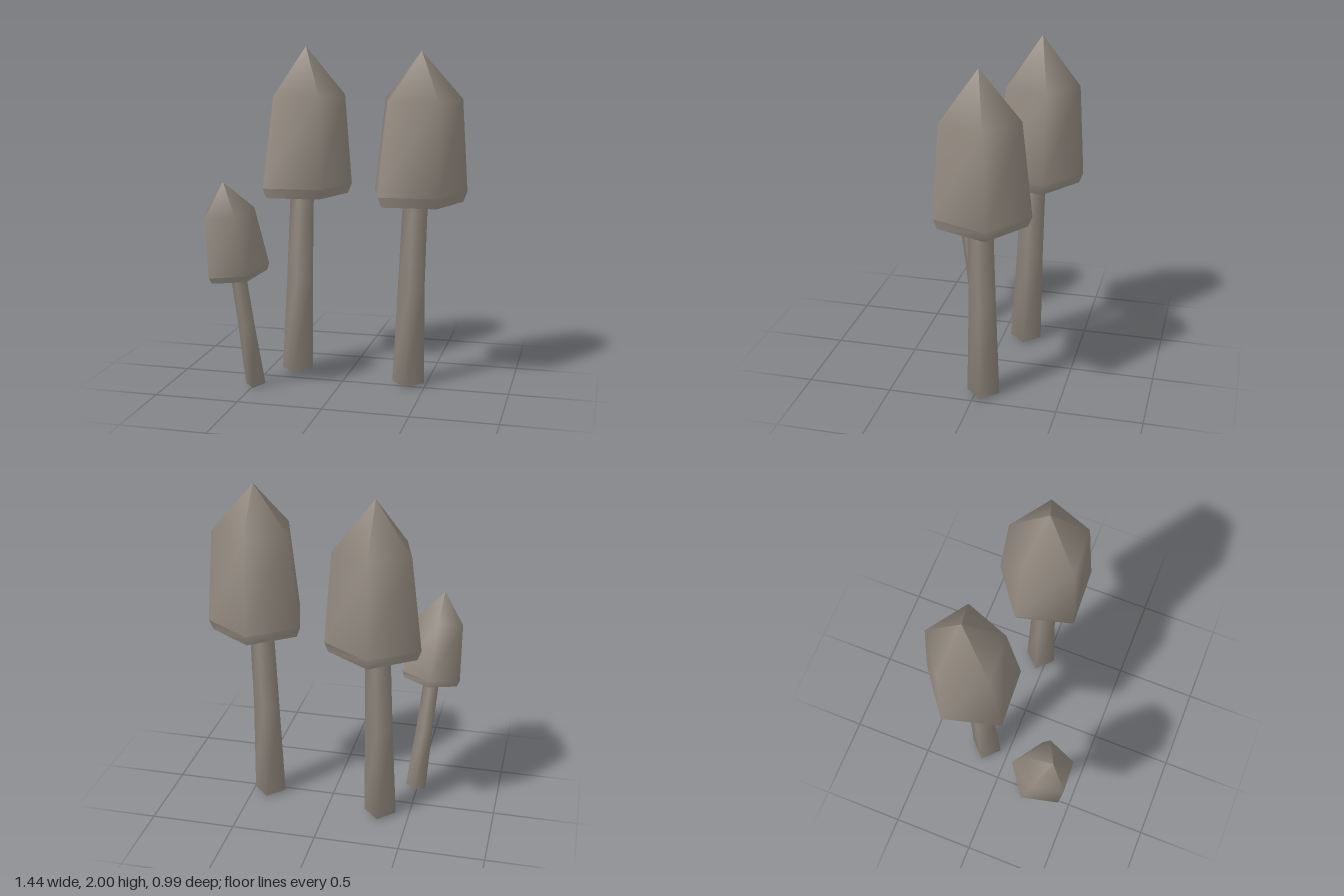
import * as THREE from 'three';

// Slightly irregular pentagon shared by all caps, as [x, z]
const PENTAGON = [[0, -0.287], [0.283, -0.092], [0.163, 0.228], [-0.18, 0.248], [-0.268, -0.088]];
// Square stem section with corners on the axes
const SQUARE = [[0, -1], [1, 0], [0, 1], [-1, 0]];

// Joins scaled copies of a section; rings are [x, y, z, scale], listed from bottom to top
function loft(section, rings, closedFoot = false) {
  const n = section.length, points = [], index = [];
  for (const [x, y, z, s] of rings) {
    for (const [px, pz] of section) points.push(x + px * s, y, z + pz * s);
  }
  for (let r = 0; r < rings.length - 1; r++) {
    for (let i = 0; i < n; i++) {
      const a = r * n + i, b = r * n + (i + 1) % n;
      index.push(a, a + n, b, b, a + n, b + n);
    }
  }
  if (closedFoot) {
    for (let i = 1; i < n - 1; i++) index.push(0, i, i + 1);
  }
  const geometry = new THREE.BufferGeometry();
  geometry.setAttribute('position', new THREE.Float32BufferAttribute(points, 3));
  geometry.setIndex(index);
  geometry.computeVertexNormals();
  return geometry;
}

function createMushroom(name, materials, { stem, cap, lean, shoulder, apexY }) {
  const group = new THREE.Group();
  group.name = name;
  const add = (part, geometry, material) => {
    const mesh = new THREE.Mesh(geometry, material);
    mesh.name = part;
    group.add(mesh);
  };
  const [cx, cz] = cap, [lx, lz] = lean;

  // Tapered stem with a closed foot
  add('stem', loft(SQUARE, stem, true), materials.body);

  // Pointed cap
  add('cap', loft(PENTAGON, [
    [cx, 1.17, cz, 1],
    [cx + lx, 1.71, cz + lz, shoulder],
    [cx + lx * 1.1, apexY, cz + lz * 1.1, 0.0001],
  ]), materials.body);

  // Bevelled rim, a little paler than the cap
  add('capRim', loft(PENTAGON, [
    [cx, 1.11, cz, 0.92],
    [cx, 1.17, cz, 1],
  ]), materials.rim);

  // Dark recessed underside
  add('capUnderside', loft(PENTAGON, [
    [cx, 1.15, cz, 0.0001],
    [cx, 1.135, cz, 0.8],
    [cx, 1.11, cz, 0.92],
  ]), materials.underside);
  return group;
}

export function createModel() {
  const model = new THREE.Group();
  model.name = 'mushrooms';
  const paint = (name, color) => {
    const material = new THREE.MeshStandardMaterial({ color });
    material.name = name;
    return material;
  };
  const materials = {
    body: paint('greyBrown', 0x938a80),
    rim: paint('paleGreyBrown', 0x9e958b),
    underside: paint('darkBrown', 0x5a4e4c),
  };

  model.add(createMushroom('tallMushroomRight', materials, {
    stem: [[-0.325, 0.012, -0.147, 0.097], [-0.312, 0.6, -0.168, 0.082], [-0.3, 1.16, -0.19, 0.073]],
    cap: [-0.298, -0.203], lean: [0.012, -0.027], shoulder: 0.8, apexY: 2,
  }));
  model.add(createMushroom('tallMushroomLeft', materials, {
    stem: [[0.395, 0.012, -0.045, 0.097], [0.407, 0.6, -0.043, 0.08], [0.428, 1.16, -0.038, 0.073]],
    cap: [0.434, -0.046], lean: [0.018, 0.006], shoulder: 0.82, apexY: 1.985,
  }));

  // Small tilted mushroom
  const small = createMushroom('smallMushroom', materials, {
    stem: [[0, 0, 0, 0.097], [0, 0.6, 0, 0.079], [0, 1.16, 0, 0.073]],
    cap: [-0.006, 0], lean: [0, 0], shoulder: 0.81, apexY: 1.985,
  });
  const axis = new THREE.Vector3(-0.105, 1.255, 0.21).normalize();
  small.quaternion.setFromUnitVectors(new THREE.Vector3(0, 1, 0), axis);
  small.scale.setScalar(0.64);
  small.position.set(-0.49, 0.01, 0.19);
  model.add(small);
  return model;
}
